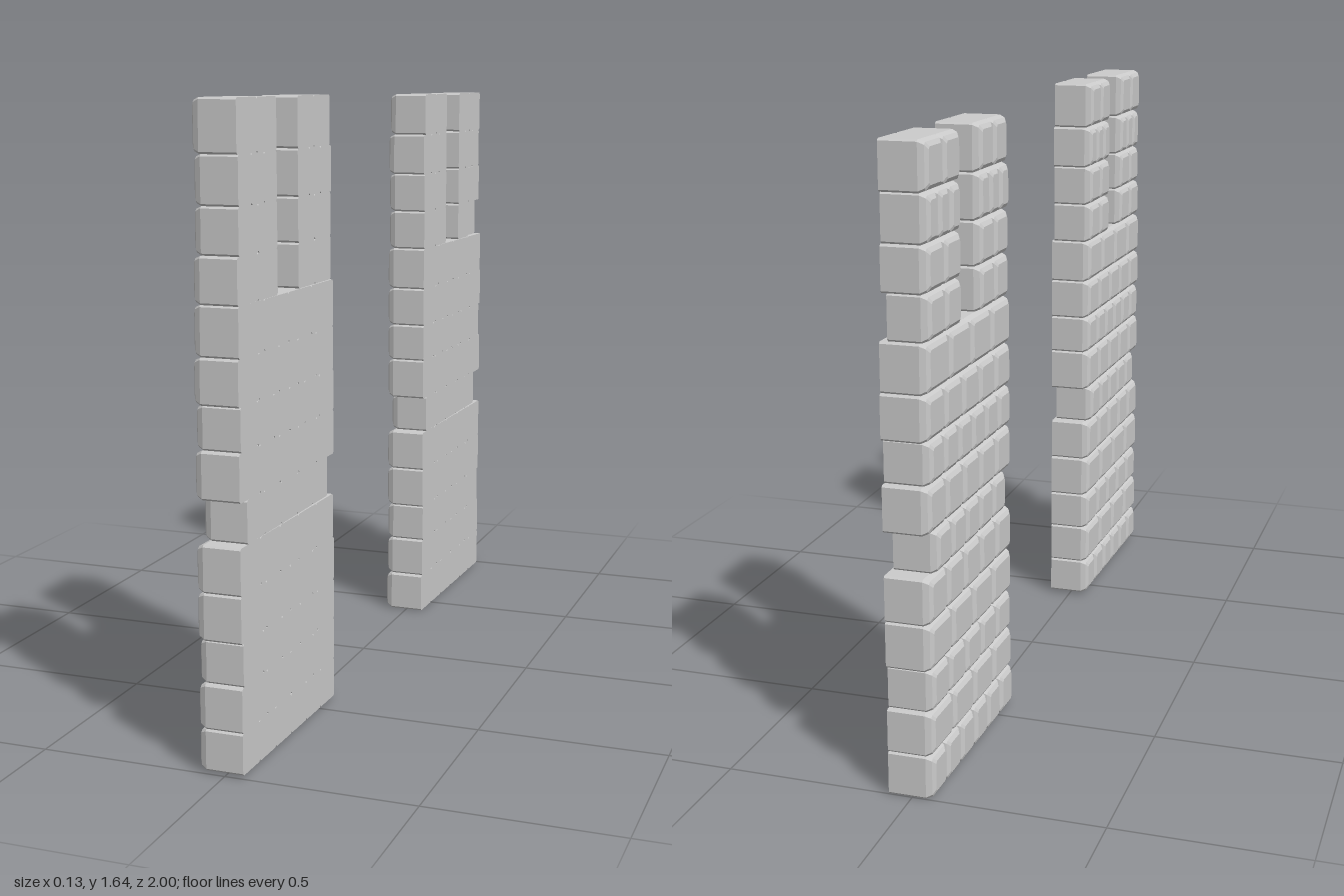
import * as THREE from 'three';

const material = new THREE.MeshStandardMaterial({ color: 0xcccccc, flatShading: true });

// Octagonal outline of a brick in the z-y plane, inset from its edges by d
function outline(z0, z1, y0, y1, d, c) {
  z0 += d; z1 -= d; y0 += d; y1 -= d;
  return [[z0 + c, y0], [z1 - c, y0], [z1, y0 + c], [z1, y1 - c],
    [z1 - c, y1], [z0 + c, y1], [z0, y1 - c], [z0, y0 + c]];
}

// Brick lofted along x: flat at +x, bevelled towards -x, skewed by the row's tilt
function brickGeometry(z0, z1, y0, y1, back, tilt, zMid) {
  const sections = [[back, 0, 0.005], [-0.043, 0, 0.005], [-0.058, 0.006, 0.006], [-0.065, 0.017, 0.006]];
  const pos = [], idx = [], n = 8;
  for (const [x, d, c] of sections)
    for (const [z, y] of outline(z0, z1, y0, y1, d, c)) pos.push(x + tilt * (zMid - z), y, z);
  for (let s = 0; s < sections.length - 1; s++)
    for (let i = 0; i < n; i++) {
      const a = s * n + i, b = s * n + (i + 1) % n;
      idx.push(a, b, a + n, b, b + n, a + n);
    }
  const last = (sections.length - 1) * n;
  for (let i = 1; i < n - 1; i++) {
    idx.push(0, i + 1, i);
    idx.push(last, last + i, last + i + 1);
  }
  const g = new THREE.BufferGeometry();
  g.setAttribute('position', new THREE.Float32BufferAttribute(pos, 3));
  g.setIndex(idx);
  const flat = g.toNonIndexed();
  flat.computeVertexNormals();
  return flat;
}

// Course heights, bricks per full course, bricks per course in each tower
const levels = [0, 0.115, 0.23, 0.34, 0.46, 0.58, 0.69, 0.81, 0.92, 1.035, 1.16, 1.275, 1.39, 1.51, 1.64];
const counts = [6, 4, 5, 4, 5, 5, 5, 6, 5, 4];
const towerCounts = [2, 2, 3, 2];

// Distances |z| of each course's inner and outer ends
const frontEnds = [[0.41, 1], [0.41, 1], [0.41, 0.99], [0.41, 1], [0.415, 1], [0.44, 0.96],
  [0.41, 1], [0.41, 0.99], [0.41, 1], [0.41, 0.995], [0.41, 1], [0.41, 0.99], [0.403, 0.988], [0.413, 0.995]];
const backEnds = [[0.403, 1], [0.41, 1], [0.415, 0.99], [0.41, 1], [0.41, 1], [0.44, 0.955],
  [0.41, 1], [0.41, 0.985], [0.41, 1], [0.41, 0.995], [0.41, 0.99], [0.41, 0.995], [0.402, 0.988], [0.415, 0.995]];

function buildWall(name, side, ends, bottom, top) {
  const wall = new THREE.Group();
  wall.name = name;
  const ys = levels.slice();
  ys[0] = bottom;
  ys[ys.length - 1] = top;
  for (let r = 0; r < ys.length - 1; r++) {
    const [inner, outer] = ends[r];
    const tower = r >= counts.length;
    const loose = tower || r === 5;
    const back = loose ? 0.053 : 0.056;
    const tilt = loose ? 0.008 : 0.021;
    // Above the wall body a gap splits the course into two towers
    const runs = tower
      ? [['innerTowerBrick', inner, 0.63], ['outerTowerBrick', 0.763, outer]]
      : [['wallBrick', inner, outer]];
    for (const [label, a, b] of runs) {
      const n = tower ? towerCounts[r - counts.length] : counts[r];
      for (let i = 0; i < n; i++) {
        const p = a + (b - a) * i / n, q = a + (b - a) * (i + 1) / n;
        const z0 = Math.min(side * p, side * q), z1 = Math.max(side * p, side * q);
        // One brick on the rear wall's outer tower sits slightly sunken
        const sunken = side < 0 && r === 10 && label === 'outerTowerBrick' && i === n - 1;
        const brick = new THREE.Mesh(
          brickGeometry(z0, z1, ys[r], ys[r + 1], sunken ? back - 0.012 : back, tilt, side * 0.7), material);
        brick.name = label;
        wall.add(brick);
      }
    }
  }
  return wall;
}

export function createModel() {
  const model = new THREE.Group();
  model.name = 'brickGatePillars';
  model.add(buildWall('frontWall', 1, frontEnds, 0.008, 1.64));
  model.add(buildWall('rearWall', -1, backEnds, 0, 1.632));
  return model;
}
